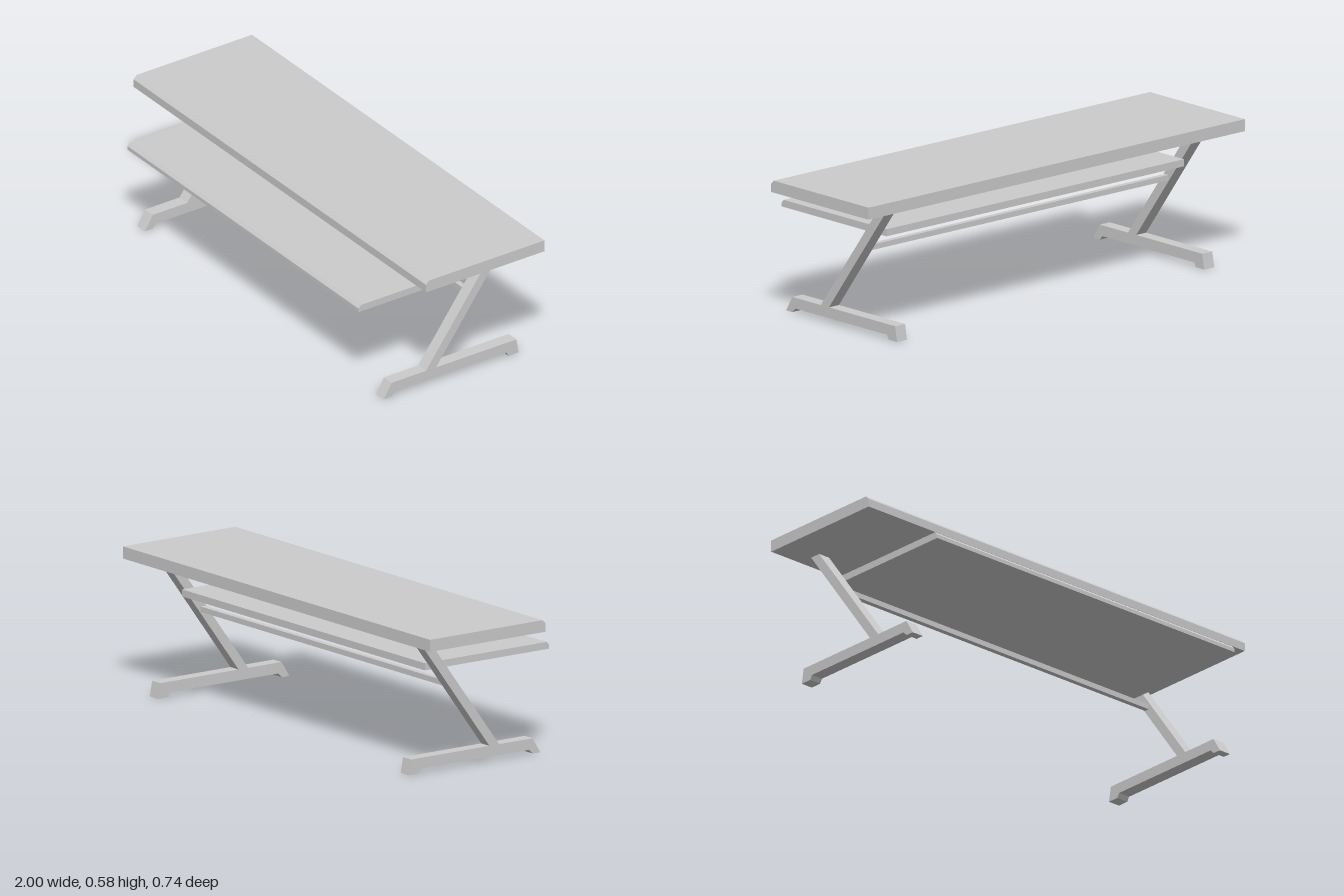
import * as THREE from 'three';

const material = new THREE.MeshStandardMaterial({ color: 0xcccccc, flatShading: true });
const CENTRE = -0.004; // the underframe sits slightly off the middle of the top
const LEG_X = 0.8165;
const LEG_WIDTH = 0.053;

// Extrudes a side profile of [z, y] points along x, centred on the given x.
function profilePart(name, points, width, x) {
  const shape = new THREE.Shape(points.map(([z, y]) => new THREE.Vector2(z, y)));
  const geometry = new THREE.ExtrudeGeometry(shape, { depth: width, bevelEnabled: false });
  geometry.translate(0, 0, -width / 2);
  geometry.rotateY(-Math.PI / 2);
  const mesh = new THREE.Mesh(geometry, material);
  mesh.name = name;
  mesh.position.x = x;
  return mesh;
}

// A board with its upper front edge chamfered.
function boardProfile(back, front, bottom, top, chamferZ, chamferY) {
  return [[back, bottom], [front, bottom], [front, top - chamferY], [front - chamferZ, top], [back, top]];
}

export function createModel() {
  const group = new THREE.Group();
  group.name = 'deskWithShelf';

  // Boards
  group.add(profilePart('tableTop', boardProfile(-0.372, 0.198, 0.529, 0.578, 0.015, 0.015), 2, 0));
  const innerWidth = 2 * LEG_X - LEG_WIDTH;
  group.add(profilePart('lowerShelf', boardProfile(-0.242, 0.372, 0.397, 0.426, 0.012, 0.013), innerWidth, CENTRE));

  // Cross rail between the slanted legs
  const rail = new THREE.Mesh(new THREE.BoxGeometry(innerWidth, 0.022, 0.022), material);
  rail.name = 'crossRail';
  rail.position.set(CENTRE, 0.333, -0.14);
  group.add(rail);

  // Slanted legs on notched feet
  const legProfile = [[0.037, 0.062], [0.085, 0.062], [-0.26, 0.529], [-0.307, 0.529]];
  const footProfile = [
    [0.288, 0], [0.25, 0.062], [-0.35, 0.062], [-0.361, 0],
    [-0.312, 0], [-0.302, 0.018], [0.233, 0.018], [0.252, 0],
  ];
  for (const [side, sign] of [['left', 1], ['right', -1]]) {
    const x = CENTRE + sign * LEG_X;
    group.add(profilePart(side + 'Leg', legProfile, LEG_WIDTH, x));
    group.add(profilePart(side + 'Foot', footProfile, LEG_WIDTH, x));
  }
  return group;
}
